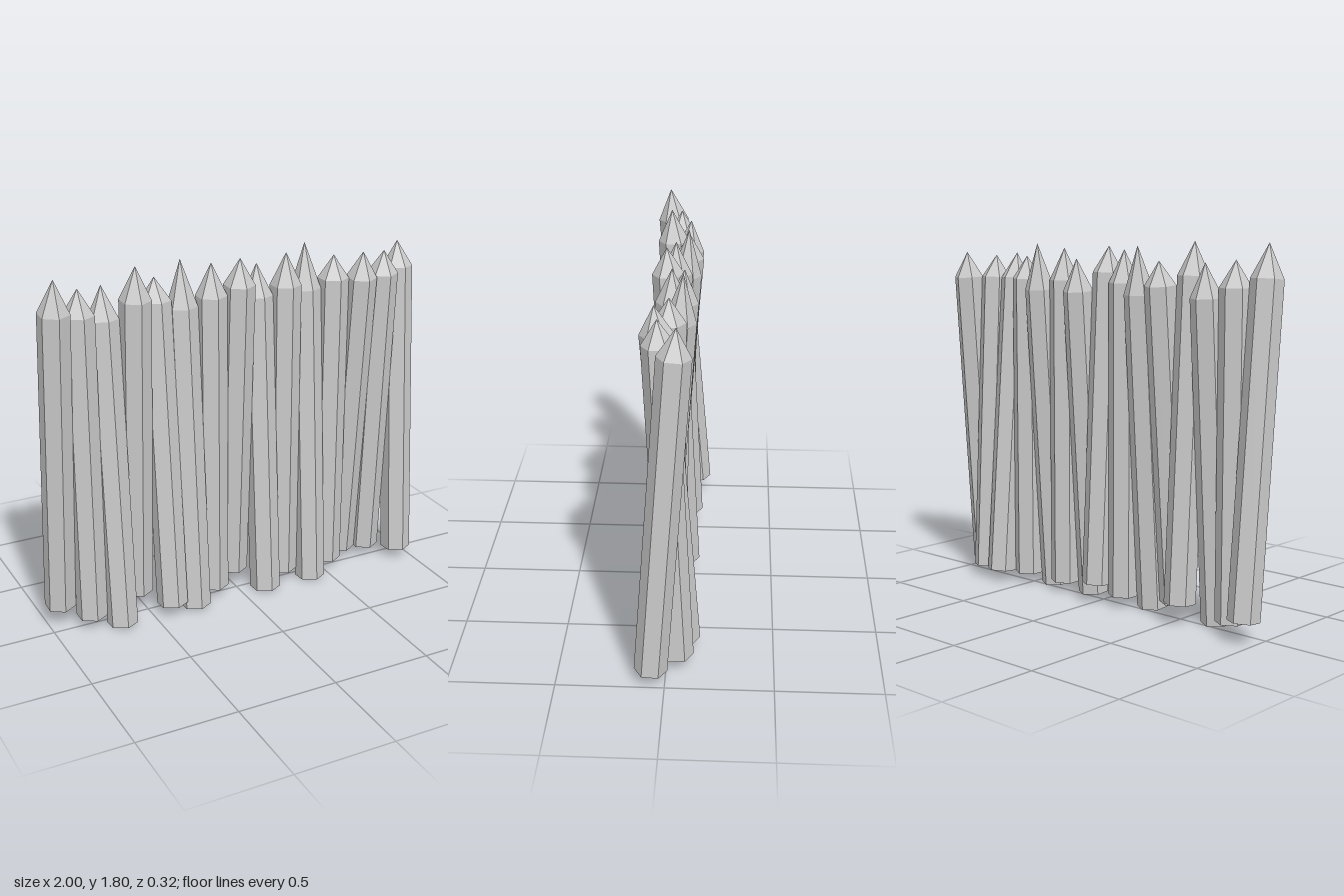
import * as THREE from 'three';

const SPACING = 2 / 15;                 // stakes stand side by side
const RADIUS = SPACING / Math.sqrt(3);  // hexagon with a corner to the front
const SHAFT = 1.545;                    // base to shoulder
const PIVOT = 0.95;                     // height along the stake where it leans

// Per stake, left to right: base height, point length, lean in degrees (+ = top to the front)
const STAKES = [
  [0.10, 0.16, 5], [0.055, 0.125, 0], [0.008, 0.16, -4], [0.10, 0.16, 3], [0.055, 0.115, -4.8],
  [0.008, 0.23, -4], [0.055, 0.16, 0], [0.10, 0.13, 3], [0.008, 0.16, -4], [0.055, 0.16, 0],
  [0.008, 0.23, -4], [0.055, 0.115, 0], [0.055, 0.13, 4.6], [0.055, 0.115, 3], [0.055, 0.13, -4],
];

// Six-sided post with a closed base and a sharpened top, origin at the pivot
function stakeGeometry(point) {
  const profile = [[0, 0], [RADIUS, 0], [RADIUS, SHAFT], [0, SHAFT + point]];
  return new THREE.LatheGeometry(profile.map(([r, y]) => new THREE.Vector2(r, y - PIVOT)), 6);
}

export function createModel() {
  const palisade = new THREE.Group();
  palisade.name = 'palisade';
  const wood = new THREE.MeshStandardMaterial({ color: 0xcccccc, flatShading: true });

  STAKES.forEach(([base, point, lean], i) => {
    const stake = new THREE.Mesh(stakeGeometry(point), wood);
    stake.name = `stake${i + 1}`;
    stake.position.set((i - 7) * SPACING, base + PIVOT, 0);
    stake.rotation.x = THREE.MathUtils.degToRad(lean);
    palisade.add(stake);
  });
  return palisade;
}
